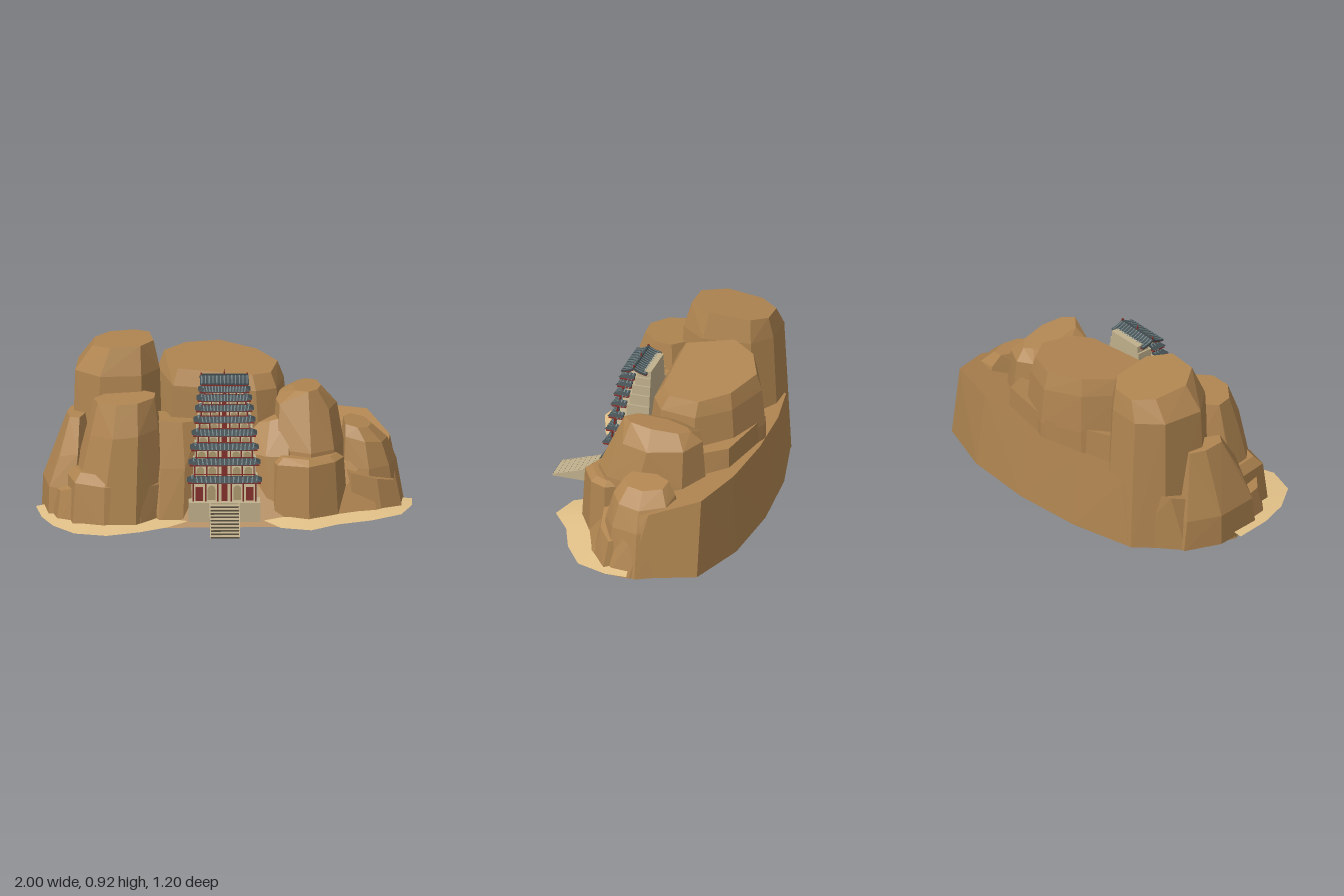
import * as THREE from 'three';
import { ConvexGeometry } from 'three/addons/geometries/ConvexGeometry.js';

const mat = (name, color, extra = {}) => {
  const m = new THREE.MeshStandardMaterial({ color, ...extra });
  m.name = name;
  return m;
};

export function createModel() {
  const root = new THREE.Group();
  root.name = 'cliffTower';
  const rockMat = mat('sandstone', 0xb08551, { flatShading: true });
  const sandMat = mat('sand', 0xe2c188, { side: THREE.DoubleSide });
  const stone = mat('paleStone', 0xc0b08c);
  const cream = mat('creamWall', 0xd6c6a0);
  const shade = mat('nicheTan', 0xb09a70);
  const red = mat('redTimber', 0x85302b);
  const tile = mat('slateTile', 0x424d50);
  const rib = mat('tileRib', 0x6d7f83);
  const dark = mat('darkRiser', 0x5a5140);

  const add = (parent, name, geo, m, x = 0, y = 0, z = 0) => {
    const mesh = new THREE.Mesh(geo, m);
    mesh.name = name;
    mesh.position.set(x, y, z);
    parent.add(mesh);
    return mesh;
  };
  const box = (parent, name, m, w, h, d, x, y, z) => add(parent, name, new THREE.BoxGeometry(w, h, d), m, x, y, z);

  // Rock: an outline [x, z] repeated at levels [y, scaleX, scaleZ, shiftX, shiftZ, tiltX, tiltZ]
  const cliffs = new THREE.Group();
  cliffs.name = 'cliffs';
  root.add(cliffs);
  const rock = (name, outline, levels) => {
    const xs = outline.map(p => p[0]), zs = outline.map(p => p[1]);
    const cx = (Math.min(...xs) + Math.max(...xs)) / 2, cz = (Math.min(...zs) + Math.max(...zs)) / 2;
    const pts = [];
    for (const [y, sx, sz, dx = 0, dz = 0, tx = 0, tz = 0] of levels)
      for (const [x, z] of outline) {
        const ox = (x - cx) * sx + dx, oz = (z - cz) * sz + dz;
        pts.push(new THREE.Vector3(cx + ox, y + ox * tx + oz * tz, cz + oz));
      }
    add(cliffs, name, new ConvexGeometry(pts), rockMat);
  };

  rock('baseHill', [[0.95, 0], [0.96, -0.12], [0.83, -0.46], [0.5, -0.57], [0.1, -0.6], [-0.3, -0.57], [-0.64, -0.49],
    [-0.88, -0.28], [-0.96, 0], [-0.85, 0.2], [-0.55, 0.31], [0.5, 0.29], [0.82, 0.16]],
  [[0, 1, 1], [0.3, 0.92, 0.75, 0, -0.08, 0.05, -0.28]]);
  rock('tallLeftRock', [[-0.77, -0.33], [-0.66, -0.45], [-0.48, -0.45], [-0.37, -0.36], [-0.34, -0.1], [-0.44, 0.04],
    [-0.66, 0.04], [-0.79, -0.1]],
  [[0, 1.1, 1.15], [0.76, 1, 1, 0, 0, 0.02, 0], [0.89, 0.72, 0.86, 0.03, -0.01, 0.08, 0.08]]);
  rock('leftFrontRock', [[-0.81, 0.1], [-0.72, 0], [-0.45, -0.04], [-0.34, 0.06], [-0.35, 0.18], [-0.48, 0.31],
    [-0.64, 0.32], [-0.78, 0.22]],
  [[0, 1.17, 1.25, -0.01, 0.04], [0.5, 0.84, 1, 0.035, 0.01, 0.08], [0.67, 0.7, 0.72, 0.045, 0, 0.06, 0]]);
  rock('leftFrontBoulder', [[-0.85, 0.1], [-0.6, 0], [-0.33, 0.06], [-0.31, 0.22], [-0.45, 0.36], [-0.64, 0.4], [-0.8, 0.35]],
    [[0.01, 1.04, 1.03], [0.24, 0.98, 0.92, 0, -0.01, -0.08], [0.29, 0.84, 0.78, 0, -0.03, -0.08]]);
  rock('leftEdgeRock', [[-0.96, -0.1], [-0.89, -0.28], [-0.76, -0.25], [-0.7, 0], [-0.8, 0.2], [-0.93, 0.14]],
    [[0.01, 1.05, 1.1], [0.18, 1, 1], [0.35, 0.75, 0.8, 0.03, 0, 0.3], [0.53, 0.4, 0.5, 0.05, -0.03, 0.1]]);
  rock('leftEdgeBoulder', [[-0.94, 0.03], [-0.82, 0], [-0.72, 0.15], [-0.78, 0.33], [-0.89, 0.25]],
    [[0.01, 1.05, 1.05], [0.2, 0.85, 0.85, 0.01, -0.01, 0.4]]);
  rock('centreBackRock', [[-0.35, -0.28], [-0.22, -0.46], [-0.02, -0.56], [0.2, -0.46], [0.32, -0.28], [0.28, -0.06],
    [0.17, 0.02], [-0.27, 0.03]],
  [[0, 1.1, 1], [0.5, 1.05, 1], [0.69, 1, 0.93, 0, 0, -0.08, -0.04], [0.775, 0.9, 0.8, 0, -0.01, -0.1, -0.08]]);
  rock('centreBackLedge', [[-0.42, -0.35], [-0.05, -0.56], [0.35, -0.48], [0.44, -0.3], [0.1, -0.1], [-0.4, -0.1]],
    [[0.2, 1, 1], [0.5, 0.95, 0.96, 0, 0, 0, -0.15]]);
  rock('leftFlank', [[-0.42, 0.1], [-0.38, -0.1], [-0.12, -0.1], [-0.1, 0.1], [-0.21, 0.2], [-0.34, 0.22]],
    [[0.01, 1, 1.3, -0.01, 0.04], [0.3, 1, 1], [0.53, 0.95, 0.6, -0.01, -0.03, -0.08]]);
  rock('rightFlank', [[0.4, 0.1], [0.38, -0.15], [0.12, -0.12], [0.12, 0.08], [0.22, 0.16], [0.34, 0.18]],
    [[0.01, 1, 1.2, 0.01, 0.03], [0.35, 1, 1], [0.52, 0.9, 0.6, 0.02, -0.05, 0.3]]);
  rock('rightRock', [[0.24, -0.15], [0.32, -0.33], [0.42, -0.38], [0.56, -0.3], [0.62, -0.08], [0.57, 0.1],
    [0.45, 0.18], [0.28, 0.1]],
  [[0, 1.15, 1.15, 0.02, 0.04], [0.38, 1.03, 1.05, 0.01, 0.02], [0.59, 0.9, 0.84, 0, -0.02, -0.1, 0],
    [0.665, 0.4, 0.66, 0.01, -0.01, 0.06, 0.1]]);
  rock('rightFrontBoulder', [[0.24, 0.12], [0.35, 0], [0.58, 0], [0.65, 0.12], [0.6, 0.22], [0.45, 0.31], [0.27, 0.24]],
    [[0, 1.04, 1.02], [0.33, 0.93, 0.9, 0, 0, 0.04, 0], [0.36, 0.75, 0.72, 0, -0.01]]);
  rock('rightEdgeRock', [[0.6, -0.2], [0.68, -0.33], [0.82, -0.31], [0.9, -0.15], [0.86, 0], [0.75, 0.07], [0.62, 0.03]],
    [[0, 1.2, 1.15, 0.03, 0], [0.25, 0.98, 1, 0.02, 0], [0.39, 0.8, 0.82, 0, 0, -0.2], [0.45, 0.5, 0.6, -0.04, 0, -0.2]]);
  rock('rightEdgeBoulder', [[0.62, 0.02], [0.72, -0.08], [0.9, -0.06], [0.95, 0.03], [0.84, 0.12], [0.68, 0.15]],
    [[0, 1.03, 1.04], [0.21, 0.86, 0.85, -0.02, -0.02, -0.3]]);

  // Sand aprons, rising a little toward the rock
  const apron = (name, outer, cx) => {
    const pos = [], idx = [];
    outer.forEach(([x, z], i) => {
      pos.push(x, 0.03, z, cx + (x - cx) * 0.6, 0.06, -0.05 + (z + 0.05) * 0.5);
      if (i) idx.push(2 * i - 2, 2 * i, 2 * i - 1, 2 * i - 1, 2 * i, 2 * i + 1);
    });
    const g = new THREE.BufferGeometry();
    g.setAttribute('position', new THREE.Float32BufferAttribute(pos, 3));
    g.setIndex(idx);
    g.computeVertexNormals();
    add(root, name, g, sandMat);
  };
  apron('leftSand', [[-1, 0], [-0.97, 0.2], [-0.91, 0.36], [-0.8, 0.5], [-0.63, 0.545], [-0.45, 0.48], [-0.3, 0.39], [-0.2, 0.29]], -0.55);
  apron('rightSand', [[0.2, 0.26], [0.3, 0.41], [0.46, 0.455], [0.6, 0.35], [0.78, 0.28], [0.94, 0.17], [1, 0], [1, -0.12]], 0.5);

  // Platform and stair with sloping cheeks
  box(root, 'platform', stone, 0.38, 0.105, 0.3, 0, 0.083, 0.15);
  const stair = new THREE.Group();
  stair.name = 'stair';
  root.add(stair);
  const steps = 10;
  for (let i = 0; i < steps; i++) {
    const h = 0.1 * (i + 1) / steps, d = 0.29 / steps, z = 0.6 - d * (i + 0.5);
    box(stair, 'step', stone, 0.152, h, d, 0, 0.03 + h / 2, z);
    box(stair, 'riser', dark, 0.152, 0.008, 0.003, 0, 0.03 + h - 0.005, z + d / 2);
  }
  const cheek = new THREE.ExtrudeGeometry(new THREE.Shape([[0.3, 0.03], [0.6, 0.03], [0.6, 0.04], [0.3, 0.138]].map(p => new THREE.Vector2(...p))),
    { depth: 0.005, bevelEnabled: false }).rotateY(-Math.PI / 2);
  for (const x of [-0.075, 0.08]) add(stair, 'cheek', cheek, stone, x);

  // Tiled eave: a thin box whose top draws in and whose corners turn up
  const tower = new THREE.Group();
  tower.name = 'tower';
  root.add(tower);
  const inset = 0.04, rise = 0.014;
  const eave = (y, hw, zf, zb) => {
    const g = new THREE.BoxGeometry(hw * 2, 0.01, zf - zb, 12, 1, 1);
    const p = g.attributes.position;
    for (let i = 0; i < p.count; i++) {
      const x = p.getX(i);
      if (p.getY(i) > 0) {
        p.setY(i, 0.005 + rise);
        p.setX(i, x * (1 - inset / hw));
        if (p.getZ(i) > 0) p.setZ(i, p.getZ(i) - inset);
      } else p.setY(i, -0.005 + 0.008 * Math.abs(x / hw) ** 4);
    }
    g.computeVertexNormals();
    const zc = (zf + zb) / 2, drop = rise + 0.01, slope = Math.atan2(drop, inset), len = Math.hypot(inset, drop);
    add(tower, 'eave', g, tile, 0, y, zc);
    const n = 15;
    for (let k = 0; k < n; k++) {
      const x = (k / (n - 1) * 2 - 1) * (hw - 0.01);
      box(tower, 'tileRib', rib, 0.006, 0.004, len, x * (1 - inset / hw / 2), y + 0.008, zf - inset / 2).rotation.set(slope, -x / hw * 0.15, 0);
    }
    for (const s of [-1, 1])
      for (let z = zb + 0.012; z < zf - inset; z += 0.018)
        box(tower, 'sideRib', rib, len, 0.004, 0.006, s * (hw - inset / 2), y + 0.008, z).rotation.z = -s * slope;
    box(tower, 'eaveBeam', red, hw * 2 - 0.012, 0.007, zf - zb - 0.006, 0, y - 0.007, zc - 0.003);
  };

  // Storeys: a plain stone core behind a timbered front
  const heights = [0.25, 0.345, 0.425, 0.5, 0.57, 0.63, 0.683, 0.728, 0.768];
  const arch = (w, h) => {
    const s = new THREE.Shape();
    s.moveTo(-w, 0).lineTo(w, 0).lineTo(w, h - w);
    s.absarc(0, h - w, w, 0, Math.PI, false);
    return new THREE.ShapeGeometry(s, 6);
  };
  let floor = 0.135;
  heights.forEach((y, i) => {
    const t = i / 8, hw = 0.2 - 0.07 * t, zf = 0.3 - 0.1 * t, zb = zf - 0.085;
    const ww = hw - 0.032, wz = zf - 0.045, h = y - floor;
    box(tower, 'core', stone, ww * 2 + 0.016, h + 0.012, zb - 0.04, 0, floor + h / 2, (zb + 0.04) / 2);
    box(tower, 'wall', cream, ww * 2, h, wz - zb, 0, floor + h / 2, (wz + zb) / 2);
    // Columns, lintel and rail
    for (const c of [-1, -0.6, -0.22, 0.22, 0.6, 1])
      add(tower, 'column', new THREE.CylinderGeometry(0.004, 0.004, h, 6), red, c * (ww - 0.002), floor + h / 2, wz + 0.014);
    box(tower, 'lintel', red, ww * 2 + 0.01, 0.007, 0.01, 0, y - 0.013, wz + 0.014);
    if (i) box(tower, 'rail', red, ww * 2 + 0.012, 0.004, 0.004, 0, floor + h * 0.28, wz + 0.018);
    // Niches and doors
    const open = h - 0.02;
    for (const c of [-0.8, -0.41, 0.41, 0.8]) {
      if (i === 0 && Math.abs(c) > 0.5) box(tower, 'door', red, 0.04, 0.075, 0.004, c * ww, floor + 0.038, wz + 0.002);
      else add(tower, 'niche', arch(Math.min(0.02, ww * 0.14, open / 2), open * 0.85), shade, c * ww, floor + 0.004, wz + 0.002);
    }
    box(tower, 'centrePanel', red, ww * 0.2, open, 0.004, 0, floor + open / 2, wz + 0.002);
    if (i < 8) eave(y, hw, zf, zb);
    floor = y + 0.008;
  });

  // Top roof: a curved gable profile drawn out along x
  const profile = new THREE.Shape();
  profile.moveTo(-0.07, 0).quadraticCurveTo(-0.025, 0.006, 0, 0.027);
  profile.quadraticCurveTo(0.025, 0.006, 0.07, 0).lineTo(0.07, -0.008);
  profile.quadraticCurveTo(0.025, -0.002, 0, 0.015);
  profile.quadraticCurveTo(-0.025, -0.002, -0.07, -0.008);
  const roofSlice = (name, m, w, x, y) => add(tower, name,
    new THREE.ExtrudeGeometry(profile, { depth: w, bevelEnabled: false, curveSegments: 5 }).rotateY(-Math.PI / 2), m, x + w / 2, y, 0.13);
  roofSlice('topRoof', tile, 0.26, 0, 0.77);
  roofSlice('roofTrim', red, 0.25, 0, 0.764);
  for (let k = 0; k < 13; k++) roofSlice('roofRib', rib, 0.006, -0.12 + k * 0.02, 0.772);
  box(tower, 'ridge', tile, 0.25, 0.008, 0.01, 0, 0.798, 0.13);
  for (const x of [-0.122, 0.122]) box(tower, 'ridgeEnd', red, 0.008, 0.014, 0.01, x, 0.8, 0.13);
  add(tower, 'finial', new THREE.ConeGeometry(0.006, 0.03, 6), red, 0, 0.815, 0.13);
  return root;
}
